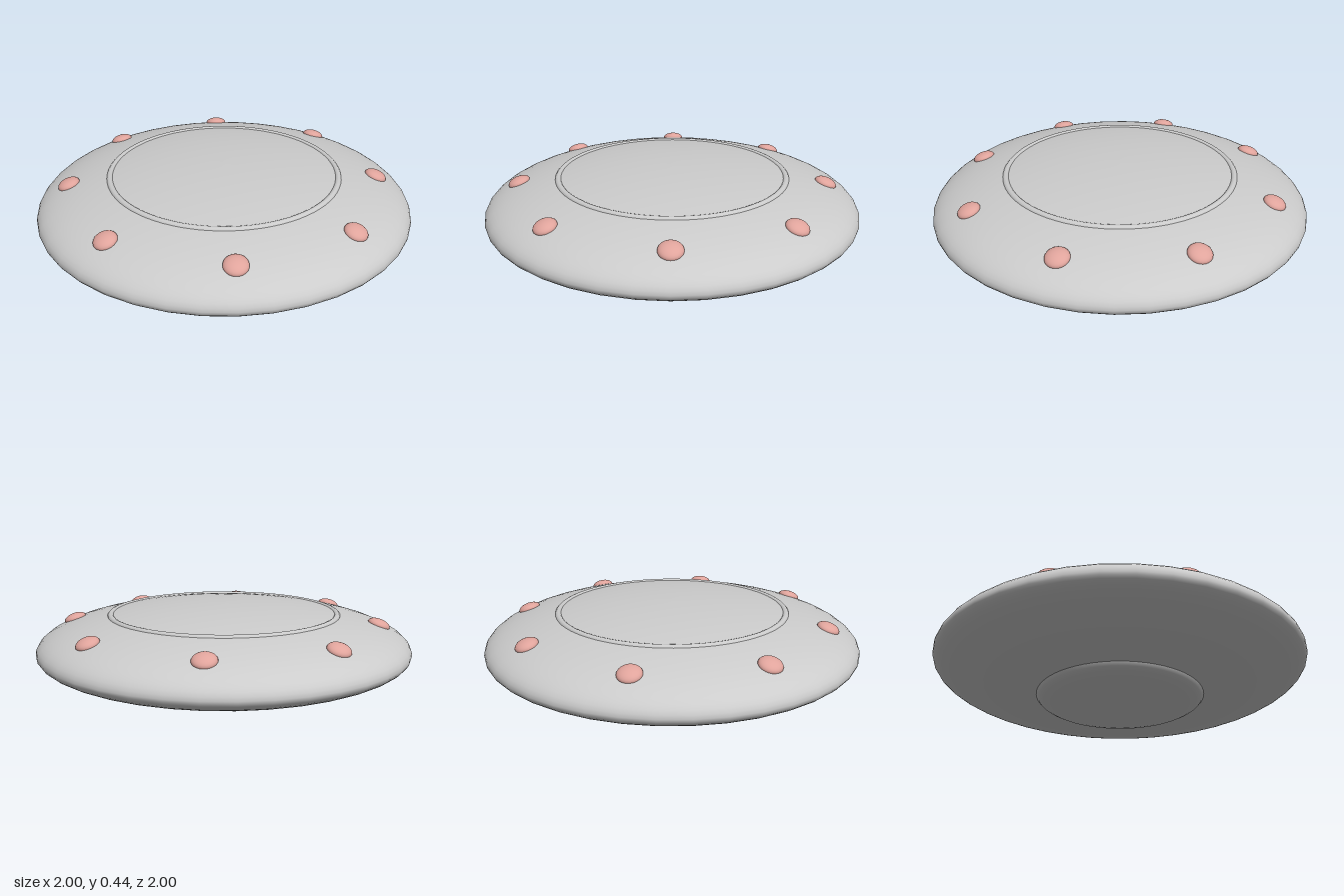
import * as THREE from 'three';

const GREY = 0xcccccc, LAMP = 0xe0a49c;
const MID = 0.21, TOP = 0.23, BOTTOM = 0.172; // rim height, upper and lower hull depth

function part(name, geometry, color = GREY) {
  const mesh = new THREE.Mesh(geometry, new THREE.MeshStandardMaterial({ color }));
  mesh.name = name;
  return mesh;
}

export function createModel() {
  const model = new THREE.Group();
  model.name = 'flyingSaucer';

  // Hull: lens-shaped profile, shallower below the rim than above
  const profile = [];
  for (let i = 0; i <= 40; i++) {
    const a = -Math.PI / 2 + (i / 40) * Math.PI;
    const h = Math.sin(a) * (a < 0 ? BOTTOM : TOP);
    profile.push(new THREE.Vector2(Math.max(0, Math.cos(a)), MID + h));
  }
  model.add(part('hull', new THREE.LatheGeometry(profile, 40)));

  // Raised ring round the top deck
  const ring = part('deckRing', new THREE.TorusGeometry(0.607, 0.018, 12, 80).rotateX(Math.PI / 2));
  ring.position.y = 0.384;
  model.add(ring);

  // Shallow rounded belly pad
  const belly = [[0, 0.004], [0.1, 0.004], [0.2, 0.007], [0.3, 0.013], [0.37, 0.02],
    [0.41, 0.03], [0.435, 0.043], [0.449, 0.06], [0.449, 0.075]]
    .map(([r, y]) => new THREE.Vector2(r, y - 0.004));
  model.add(part('bellyPad', new THREE.LatheGeometry(belly, 64)));

  // Eight flattened lamps, tilted to lie on the hull
  const r = 0.83, rise = TOP * Math.sqrt(1 - r * r);
  const tilt = Math.atan2(r, rise / (TOP * TOP));
  const lampGeometry = new THREE.SphereGeometry(0.06, 24, 16).scale(1, 0.5, 1);
  const lamps = new THREE.Group();
  lamps.name = 'lamps';
  for (let i = 0; i < 8; i++) {
    const pivot = new THREE.Group();
    pivot.rotation.y = (i * Math.PI) / 4;
    const lamp = part('lamp', lampGeometry, LAMP);
    lamp.position.set(0, MID + rise, r);
    lamp.rotation.x = tilt;
    pivot.add(lamp);
    lamps.add(pivot);
  }
  model.add(lamps);
  return model;
}
